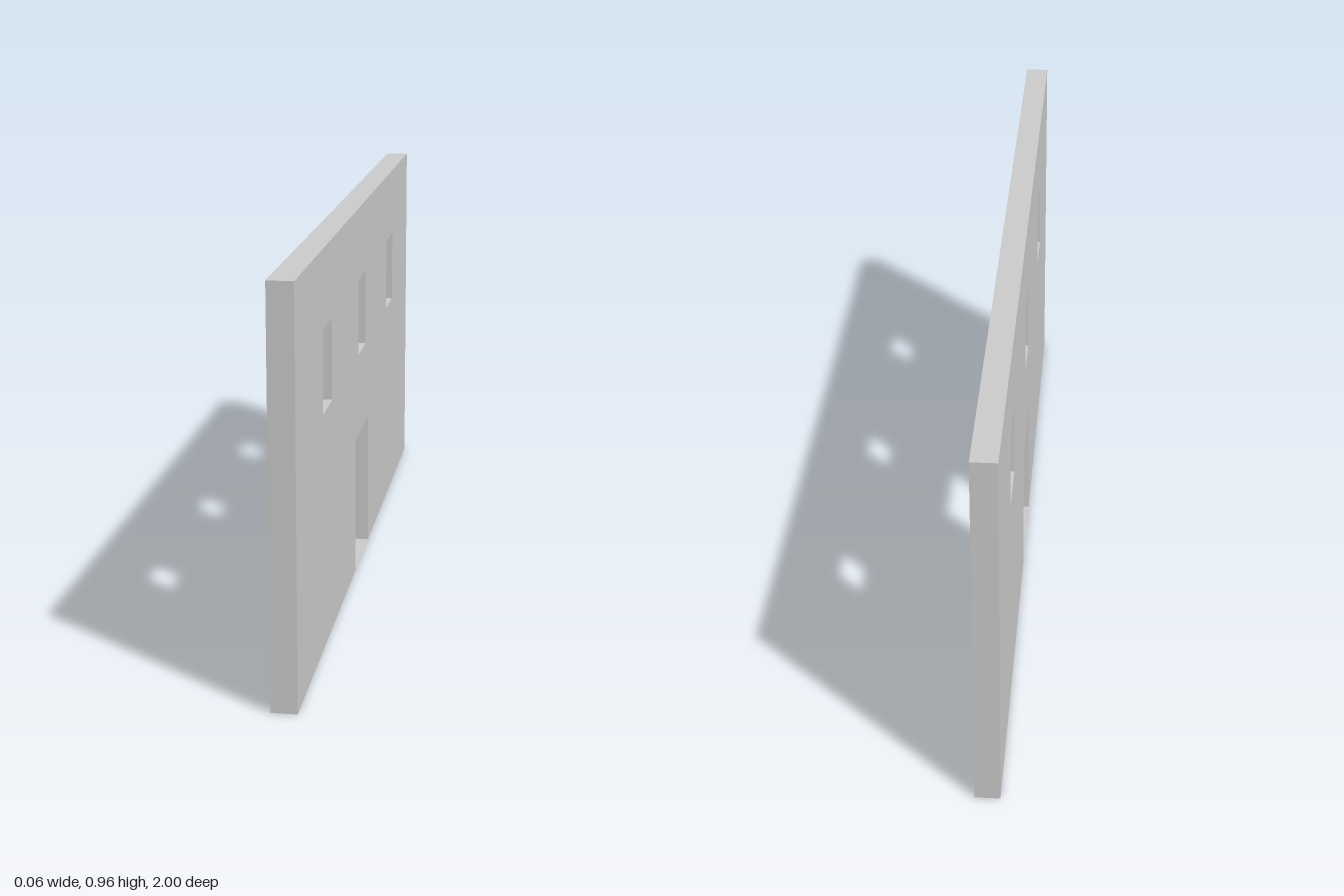
import * as THREE from 'three';

const THICKNESS = 0.06;
const HEIGHT = 0.96;

// Rectangle outline in the wall plane, from z range and y range (drawn with u = -z)
function rect(PathType, zMax, zMin, y0, y1) {
  const p = new PathType();
  p.moveTo(-zMax, y0);
  p.lineTo(-zMin, y0);
  p.lineTo(-zMin, y1);
  p.lineTo(-zMax, y1);
  p.closePath();
  return p;
}

export function createModel() {
  const group = new THREE.Group();
  group.name = 'houseWall';

  const outline = rect(THREE.Shape, 1, -1, 0, HEIGHT);

  // Three upper windows
  for (const [zMax, zMin] of [[0.64, 0.508], [0.068, -0.065], [-0.5, -0.64]]) {
    outline.holes.push(rect(THREE.Path, zMax, zMin, 0.576, 0.775));
  }

  // Doorway, leaving a very thin threshold along the ground
  outline.holes.push(rect(THREE.Path, 0.12, -0.12, 0.002, 0.36));

  // Extrude through the thickness, then turn the slab to run along z
  const geometry = new THREE.ExtrudeGeometry(outline, { depth: THICKNESS, bevelEnabled: false });
  geometry.translate(0, 0, -THICKNESS / 2);
  geometry.rotateY(Math.PI / 2);

  const wall = new THREE.Mesh(
    geometry,
    new THREE.MeshStandardMaterial({ color: 0xcccccc, flatShading: true })
  );
  wall.name = 'wallWithOpenings';
  group.add(wall);

  return group;
}
